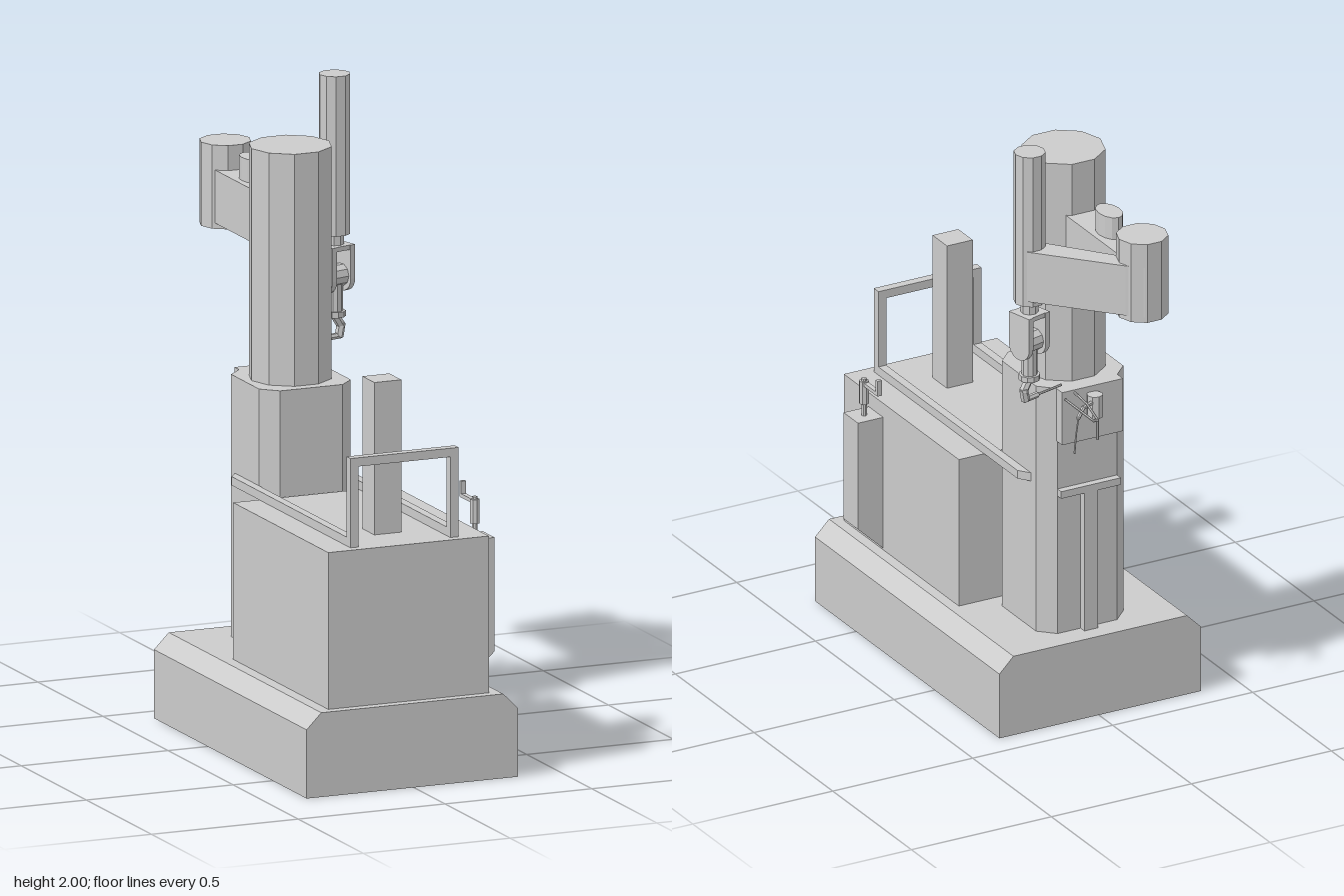
import * as THREE from 'three';

const mat = new THREE.MeshStandardMaterial({ color: 0xcccccc, flatShading: true });

export function createModel() {
  const root = new THREE.Group();

  function add(name, geo, parent = root) {
    const m = new THREE.Mesh(geo, mat);
    m.name = name;
    parent.add(m);
    return m;
  }
  // Box given by its min and max on each axis
  function box(name, x0, x1, y0, y1, z0, z1, parent) {
    const g = new THREE.BoxGeometry(x1 - x0, y1 - y0, z1 - z0);
    g.translate((x0 + x1) / 2, (y0 + y1) / 2, (z0 + z1) / 2);
    return add(name, g, parent);
  }
  // Upright faceted cylinder with a corner on +x
  function post(name, x, z, r, y0, y1, n = 10, parent = root, rTop = r) {
    const g = new THREE.CylinderGeometry(rTop, r, y1 - y0, n);
    g.rotateY(Math.PI / 2);
    g.translate(x, (y0 + y1) / 2, z);
    return add(name, g, parent);
  }
  // Floor plan [x, z] raised from y0 to y1
  function prism(name, pts, y0, y1, parent) {
    const shape = new THREE.Shape(pts.map(([x, z]) => new THREE.Vector2(x, -z)));
    const g = new THREE.ExtrudeGeometry(shape, { depth: y1 - y0, bevelEnabled: false });
    g.rotateX(-Math.PI / 2);
    g.translate(0, y0, 0);
    return add(name, g, parent);
  }
  // Front outline [x, y] run from z0 to z1
  function section(name, pts, z0, z1) {
    const shape = new THREE.Shape(pts.map(([x, y]) => new THREE.Vector2(x, y)));
    const g = new THREE.ExtrudeGeometry(shape, { depth: z1 - z0, bevelEnabled: false });
    g.translate(0, 0, z0);
    return add(name, g);
  }
  // Straight rods through a list of points
  function rods(name, pts, r, parent = root) {
    for (let i = 0; i + 1 < pts.length; i++) {
      const a = new THREE.Vector3(...pts[i]), b = new THREE.Vector3(...pts[i + 1]);
      const m = add(name, new THREE.CylinderGeometry(r, r, a.distanceTo(b) + r, 6), parent);
      m.position.copy(a).add(b).multiplyScalar(0.5);
      m.quaternion.setFromUnitVectors(new THREE.Vector3(0, 1, 0), b.sub(a).normalize());
    }
  }

  // Base with chamfered long edges, and the cabinet on it
  section('base', [[-0.365, 0], [0.355, 0], [0.355, 0.22], [0.305, 0.27], [-0.315, 0.27], [-0.365, 0.22]], -0.412, 0.76);
  box('cabinet', -0.277, 0.27, 0.27, 0.772, -0.003, 0.728);
  box('frontPost', -0.05, 0.042, 0.772, 1.26, 0.478, 0.57);

  // Lower column with cut corners
  prism('lowerColumn', [[-0.11, -0.018], [0.103, -0.018], [0.152, -0.067], [0.152, -0.283], [0.103, -0.332],
    [-0.11, -0.332], [-0.16, -0.283], [-0.16, -0.067]], 0.27, 1.11);
  box('backHousing', -0.112, 0.105, 0.93, 1.11, -0.366, -0.325);
  box('guideCrossbar', -0.11, 0.103, 0.742, 0.766, -0.356, -0.33);
  box('guideRail', -0.028, 0.02, 0.27, 0.745, -0.356, -0.33);

  // Handrails: side bars with slanted rear ends, joined by a front hoop
  for (const s of [-1, 1]) {
    const i = -0.004 + s * 0.156, o = -0.004 + s * 0.184;
    prism('sideRail', [[i, 0.698], [o, 0.698], [o, -0.215], [i, -0.252]], 0.772, 0.8);
    box('railPost', Math.min(i, o), Math.max(i, o), 0.772, 1.058, 0.668, 0.698);
  }
  box('railTop', -0.188, 0.18, 1.03, 1.058, 0.668, 0.698);

  // Side control box and its crank lever
  section('controlBox', [[0.27, 0.275], [0.36, 0.36], [0.36, 0.724], [0.27, 0.724]], 0.478, 0.57);
  post('leverStem', 0.313, 0.523, 0.009, 0.724, 0.85, 8);
  post('leverGrip', 0.313, 0.523, 0.016, 0.765, 0.842, 8);
  box('leverArm', 0.305, 0.321, 0.828, 0.84, 0.425, 0.523);
  box('leverHandle', 0.305, 0.321, 0.828, 0.88, 0.424, 0.437);

  // Upper column, first arm and elbow
  post('upperColumn', -0.004, -0.18, 0.132, 1.11, 1.853);
  box('firstArm', -0.06, 0.052, 1.508, 1.678, -0.69, -0.25);
  const cap = post('armCap', 0, 0, 1, 1.67, 1.752, 12);
  cap.scale.set(0.037, 1, 0.06);
  cap.position.set(-0.004, 0, -0.471);
  post('elbow', -0.002, -0.684, 0.082, 1.49, 1.758);
  prism('secondArm', [[0.0, -0.7], [0.03, -0.758], [0.075, -0.715], [0.292, -0.475], [0.225, -0.425], [0.065, -0.625]], 1.508, 1.678);

  // Vertical quill and turned wrist
  post('quill', 0.26, -0.435, 0.05, 1.488, 2.0);
  const wrist = new THREE.Group();
  wrist.name = 'wrist';
  wrist.position.set(0.262, 0, -0.437);
  wrist.rotation.y = 0.26;
  root.add(wrist);
  post('wristNeck', 0, 0, 0.028, 1.44, 1.49, 8, wrist);
  box('yokeTop', -0.042, 0.042, 1.438, 1.453, -0.042, 0.042, wrist);
  const cheek = new THREE.Shape();
  cheek.moveTo(-0.045, 1.453);
  cheek.lineTo(-0.045, 1.345);
  cheek.absarc(0, 1.345, 0.045, Math.PI, Math.PI * 2, false);
  cheek.lineTo(0.045, 1.453);
  for (const s of [-1, 1]) {
    const g = new THREE.ExtrudeGeometry(cheek, { depth: 0.018, bevelEnabled: false, curveSegments: 5 });
    g.translate(0, 0, -0.009);
    g.rotateY(Math.PI / 2);
    g.translate(s * 0.036, 0, 0);
    add('yokeCheek', g, wrist);
  }
  const pivot = add('wristPivot', new THREE.CylinderGeometry(0.036, 0.036, 0.06, 10).rotateZ(Math.PI / 2), wrist);
  pivot.position.y = 1.352;
  post('wristBody', 0, 0, 0.025, 1.235, 1.34, 10, wrist);
  post('wristFlange', 0, 0, 0.034, 1.222, 1.24, 10, wrist);
  rods('toolHolder', [[0, 1.225, 0], [0.024, 1.19, 0], [0.018, 1.16, 0]], 0.014, wrist);
  rods('toolFoot', [[0.018, 1.157, 0], [-0.03, 1.157, 0]], 0.01, wrist);
  rods('probe', [[-0.03, 1.157, 0], [-0.137, 1.157, 0]], 0.004, wrist);

  // Small drum with jointed fingers behind the column
  post('toolDrum', 0.0, -0.387, 0.026, 1.015, 1.09, 8);
  rods('toolArm', [[0.0, 1.07, -0.39], [0.06, 1.07, -0.42], [0.1, 1.06, -0.46]], 0.007);
  rods('upperFinger', [[0.06, 1.1, -0.365], [0.058, 1.09, -0.44], [0.06, 1.065, -0.513], [0.075, 1.065, -0.513], [0.1, 1.09, -0.38]], 0.004);
  rods('hookFinger', [[0.06, 1.065, -0.51], [0.06, 1.0, -0.51]], 0.005);
  rods('lowerFinger', [[0.1, 1.06, -0.46], [0.12, 1.01, -0.48], [0.138, 0.965, -0.503]], 0.003);

  return root;
}
